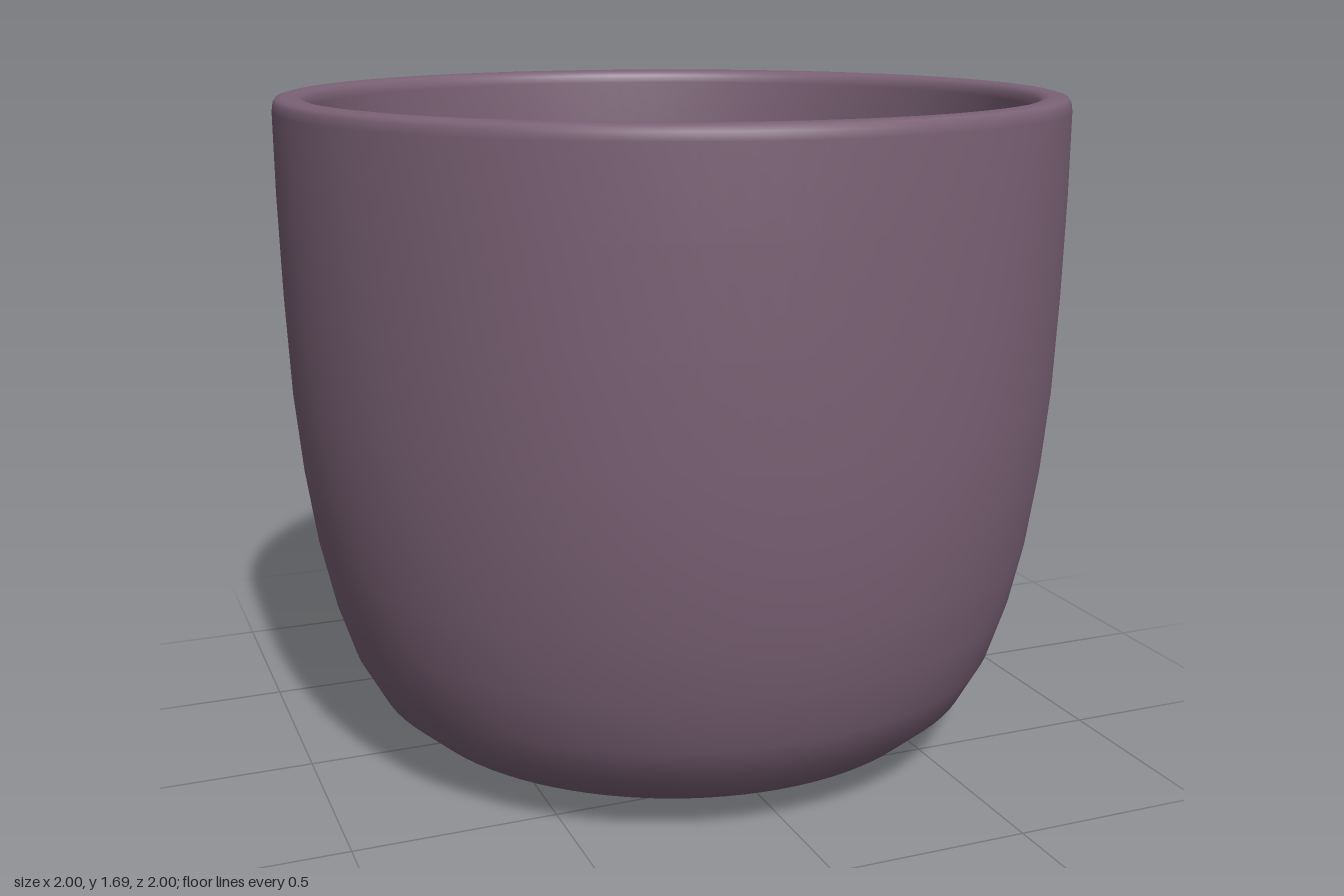
import * as THREE from 'three';

export function createModel() {
  const group = new THREE.Group();
  const segments = 96;

  // Pot: one closed-bottom profile, up the outside, over the rim and down the inside
  const profile = [
    [0, 0], [0.35, 0.003], [0.52, 0.015], [0.62, 0.033], [0.715, 0.075], [0.8, 0.15],
    [0.86, 0.26], [0.905, 0.4], [0.94, 0.56], [0.967, 0.75], [0.985, 0.95],
    [0.995, 1.2], [1, 1.45], [1, 1.655], [0.997, 1.675], [0.99, 1.686], [0.975, 1.69],
    [0.945, 1.69], [0.929, 1.686], [0.919, 1.675], [0.913, 1.655],
    [0.9, 1.45], [0.893, 1.2], [0.88, 0.95], [0.84, 0.6], [0.78, 0.35],
    [0.66, 0.18], [0.5, 0.12], [0, 0.11],
  ].map(([r, y]) => new THREE.Vector2(r, y));
  const pot = new THREE.Mesh(
    new THREE.LatheGeometry(profile, segments),
    new THREE.MeshStandardMaterial({ color: 0x7b6276 }),
  );
  pot.name = 'pot';
  group.add(pot);

  // Soil: flat disc filling the pot below the rim
  const soil = new THREE.Mesh(
    new THREE.CircleGeometry(0.902, segments).rotateX(-Math.PI / 2),
    new THREE.MeshStandardMaterial({ color: 0x80604f, side: THREE.DoubleSide }),
  );
  soil.name = 'soil';
  soil.position.y = 1.455;
  group.add(soil);

  return group;
}
